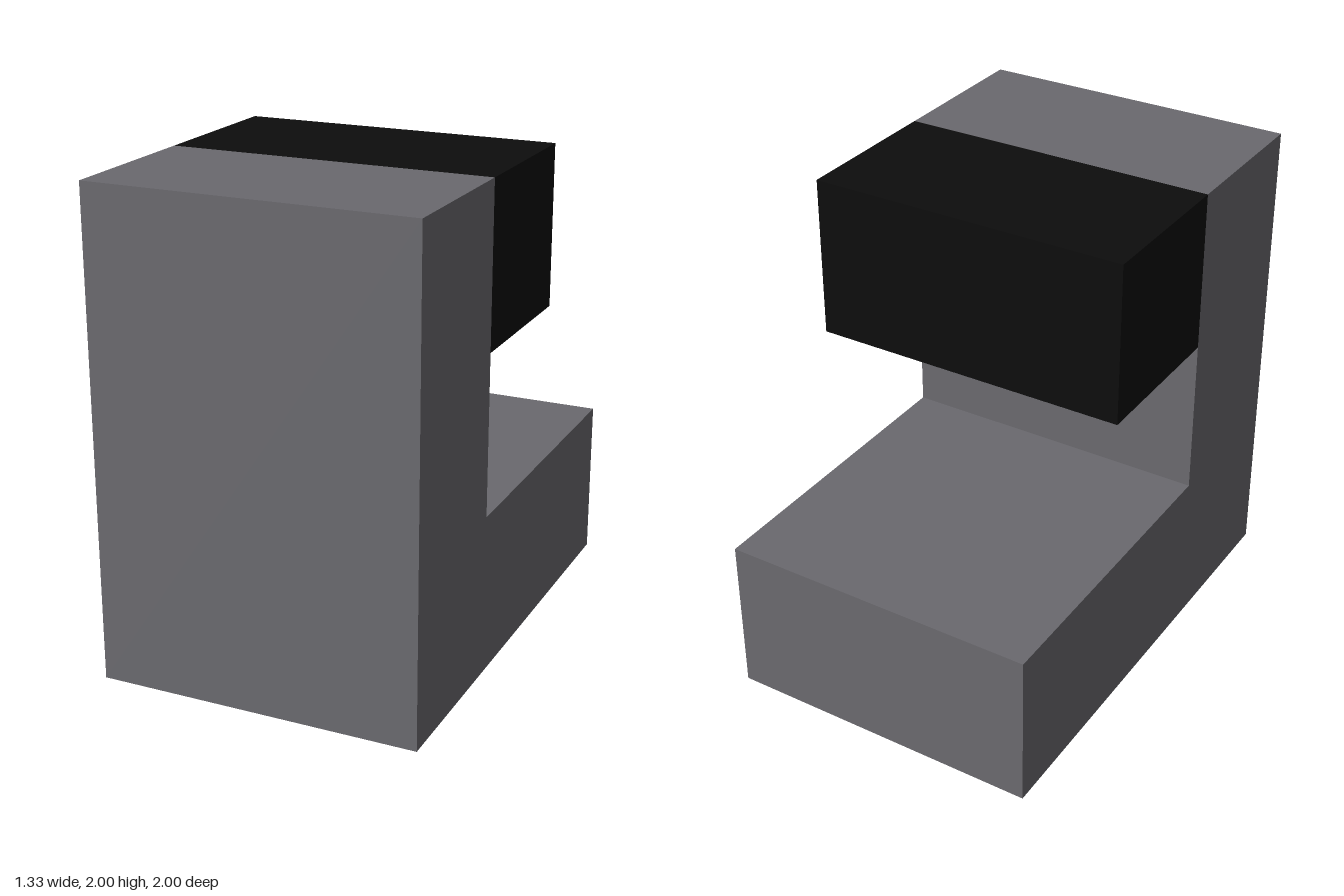
import * as THREE from 'three';

const U = 2 / 3; // the model is laid out on a 3 x 3 x 2 grid of this unit

export function createModel() {
  const model = new THREE.Group();
  model.name = 'steppedBlock';

  const grey = new THREE.MeshStandardMaterial({ color: 0x6a696e });
  grey.name = 'grey';
  const black = new THREE.MeshStandardMaterial({ color: 0x0d0d0d });
  black.name = 'black';

  // L-shaped body: side profile in (z, y), extruded across the width
  const profile = new THREE.Shape([
    [-1, 0], [1, 0], [1, 2], [1 - U, 2], [1 - U, U], [-1, U],
  ].map(([z, y]) => new THREE.Vector2(z, y)));
  const bodyGeometry = new THREE.ExtrudeGeometry(profile, { depth: 2 * U, bevelEnabled: false });
  bodyGeometry.translate(0, 0, -U).rotateY(-Math.PI / 2);
  const body = new THREE.Mesh(bodyGeometry, grey);
  body.name = 'body';
  model.add(body);

  // Dark block overhanging the base from the top of the upright
  const overhang = new THREE.Mesh(new THREE.BoxGeometry(2 * U, U, U), black);
  overhang.name = 'overhang';
  overhang.position.set(0, 2 - U / 2, 0);
  model.add(overhang);

  return model;
}
